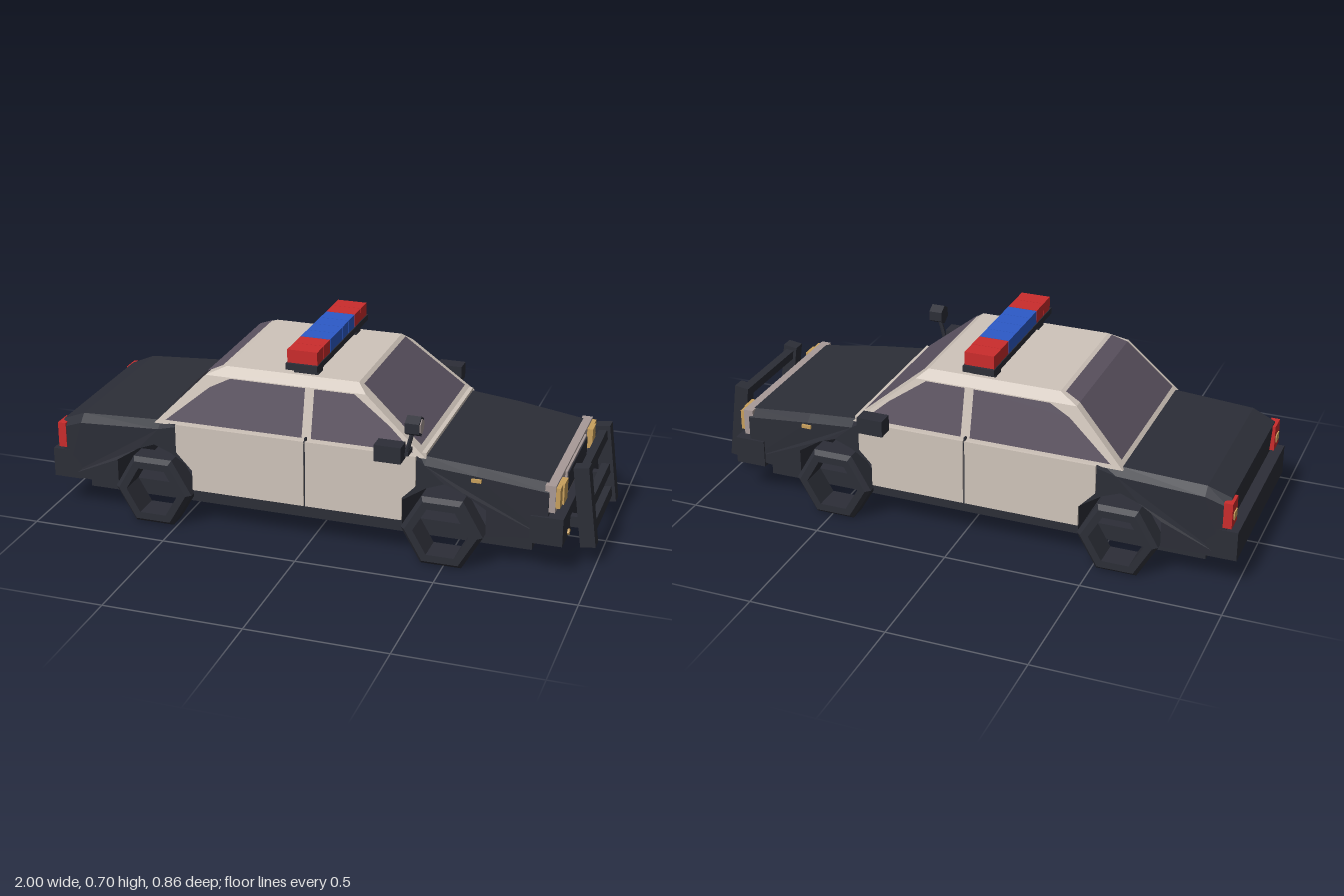
import * as THREE from 'three';

const mat = (name, color, side = THREE.FrontSide) => {
  const m = new THREE.MeshStandardMaterial({ color, side });
  m.name = name;
  return m;
};

export function createModel() {
  const car = new THREE.Group();
  car.name = 'patrolCar';
  const dark = mat('charcoal', 0x2c2e37);
  const cream = mat('cream', 0xcfc4ba);
  const glass = mat('smokedGlass', 0x5c5361, THREE.DoubleSide);
  const red = mat('red', 0xcb2c2c);
  const blue = mat('blue', 0x2c5ac8);
  const amber = mat('amber', 0xc9a05c);
  const trim = mat('trim', 0xa89a98);

  // Adds a faceted mesh
  const add = (name, geo, material, parent = car) => {
    const g = geo.index ? geo.toNonIndexed() : geo;
    g.computeVertexNormals();
    const mesh = new THREE.Mesh(g, material);
    mesh.name = name;
    parent.add(mesh);
    return mesh;
  };
  // Box given by its limits
  const box = (name, m, x0, x1, y0, y1, z0, z1, parent) => add(name,
    new THREE.BoxGeometry(x1 - x0, y1 - y0, z1 - z0)
      .translate((x0 + x1) / 2, (y0 + y1) / 2, (z0 + z1) / 2), m, parent);
  const fromTriangles = (pts, index) => {
    const g = new THREE.BufferGeometry();
    g.setAttribute('position', new THREE.Float32BufferAttribute(pts.flat(), 3));
    g.setIndex(index);
    return g;
  };
  // Closed solid through rings of equal length
  const loft = (rings) => {
    const n = rings[0].length, last = (rings.length - 1) * n, index = [];
    for (let i = 0; i < rings.length - 1; i++) {
      for (let j = 0; j < n; j++) {
        const a = i * n + j, b = i * n + (j + 1) % n;
        index.push(a, b, b + n, a, b + n, a + n);
      }
    }
    for (let j = 1; j < n - 1; j++) index.push(0, j + 1, j, last, last + j, last + j + 1);
    return fromTriangles(rings.flat(), index);
  };
  // Flat convex panel
  const panel = (name, pts, m) => {
    const index = [];
    for (let j = 1; j < pts.length - 1; j++) index.push(0, j, j + 1);
    return add(name, fromTriangles(pts, index), m);
  };
  const extrude = (pts, depth) => new THREE.ExtrudeGeometry(
    new THREE.Shape(pts.map(p => new THREE.Vector2(...p))), { depth, bevelEnabled: false });

  // Half width of the body, tapering to both ends
  const halfWidth = x => 0.348 - 0.024 * Math.max(0, (x - 0.5) / 0.37)
    - 0.018 * Math.max(0, (-x - 0.8) / 0.17);

  // Upper deck stations: x, shoulder height, top height
  const deck = [[-0.965, 0.31, 0.335], [-0.88, 0.342, 0.37], [-0.57, 0.362, 0.387],
    [-0.5, 0.38, 0.39], [0.39, 0.38, 0.39], [0.42, 0.36, 0.383], [0.6, 0.342, 0.366], [0.85, 0.31, 0.335]];
  add('hoodAndTrunk', loft(deck.map(([x, s, t]) => {
    const w = halfWidth(x), v = w - 0.03;
    return [[x, t, v], [x, s, w], [x, s, -w], [x, t, -v]];
  })), dark);

  // Lower body with wheel arches cut right through
  const wheelX = [-0.588, 0.49];
  const arch = c => [[-0.148, 0.12], [-0.148, 0.22], [-0.065, 0.275], [0, 0.3],
    [0.065, 0.275], [0.148, 0.22], [0.148, 0.12]].map(([x, y]) => [c + x, y]);
  const body = extrude([[-0.95, 0.12], ...arch(wheelX[0]), ...arch(wheelX[1]), [0.85, 0.14],
    ...deck.map(([x, s]) => [x, s]).reverse()], 1);
  const pos = body.attributes.position;
  for (let i = 0; i < pos.count; i++) {
    pos.setZ(i, (pos.getZ(i) * 2 - 1) * halfWidth(pos.getX(i)));
  }
  add('lowerBody', body, dark);
  box('chassis', dark, -0.88, 0.79, 0.065, 0.125, -0.28, 0.28);

  // Cabin shell
  add('cabin', loft([[0.38, -0.59, 0.42, 0.335], [0.57, -0.405, 0.19, 0.29], [0.6, -0.335, 0.155, 0.257]]
    .map(([y, x0, x1, z]) => [[x1, y, z], [x1, y, -z], [x0, y, -z], [x0, y, z]])), cream);
  box('cowl', cream, 0.38, 0.418, 0.375, 0.395, -0.32, 0.32);

  // Front and rear glass
  panel('windshield', [[0.392, 0.412, 0.295], [0.392, 0.412, -0.295], [0.172, 0.594, -0.25], [0.172, 0.594, 0.25]], glass);
  panel('rearWindow', [[-0.575, 0.405, -0.305], [-0.575, 0.405, 0.305], [-0.408, 0.575, 0.265], [-0.408, 0.575, -0.265]], glass);
  panel('rearWindowTop', [[-0.408, 0.575, -0.265], [-0.408, 0.575, 0.265], [-0.352, 0.599, 0.25], [-0.352, 0.599, -0.25]], glass);

  // Parts on each side
  const doors = {
    rearDoor: [[-0.44, 0.145], [-0.018, 0.145], [-0.018, 0.392], [-0.5, 0.392], [-0.5, 0.285], [-0.44, 0.22]],
    frontDoor: [[-0.011, 0.145], [0.342, 0.145], [0.342, 0.23], [0.39, 0.28], [0.39, 0.392], [-0.011, 0.392]],
  };
  const windows = {
    rearSideWindow: [[-0.545, 0.397], [-0.03, 0.397], [-0.03, 0.568], [-0.31, 0.568], [-0.385, 0.53]],
    frontSideWindow: [[0.004, 0.397], [0.375, 0.397], [0.285, 0.475], [0.15, 0.568], [0.004, 0.568]],
  };
  for (const s of [1, -1]) {
    const side = s > 0 ? 'near' : 'far';
    const sideBox = (name, m, x0, x1, y0, y1, z0, z1) =>
      box(side + name, m, x0, x1, y0, y1, Math.min(s * z0, s * z1), Math.max(s * z0, s * z1));
    for (const [name, pts] of Object.entries(doors)) {
      add(name, extrude(pts, 0.01).translate(0, 0, s > 0 ? 0.346 : -0.356), cream);
    }
    for (const [name, pts] of Object.entries(windows)) {
      const on = pts.map(([x, y]) => [x, y, s * (0.339 - (y - 0.38) * 0.237)]);
      panel(name, s > 0 ? on : on.reverse(), glass);
    }
    sideBox('PillarSeam', dark, -0.018, -0.011, 0.39, 0.4, 0.32, 0.345);

    // Hexagonal open wheels
    for (const x of wheelX) {
      const profile = [[0.1, -0.052], [0.13, -0.052], [0.147, -0.035], [0.147, 0.035],
        [0.13, 0.052], [0.1, 0.052], [0.1, -0.052]].map(p => new THREE.Vector2(...p));
      add('wheel', new THREE.LatheGeometry(profile, 6, Math.PI / 2).rotateX(Math.PI / 2)
        .translate(x, 0.1275, s * 0.333), dark);
    }

    // Wing mirror, side marker, lamps
    sideBox('MirrorArm', dark, 0.29, 0.33, 0.392, 0.415, 0.31, 0.38);
    sideBox('Mirror', dark, 0.262, 0.358, 0.39, 0.45, 0.37, 0.43);
    sideBox('SideMarker', amber, 0.585, 0.62, 0.322, 0.334, 0.335, 0.35);
    sideBox('Headlight', amber, 0.86, 0.893, 0.253, 0.328, 0.22, 0.28);
    sideBox('TurnLight', amber, 0.845, 0.887, 0.253, 0.328, 0.281, 0.318);
    add('fogLight', new THREE.CylinderGeometry(0.011, 0.011, 0.008, 6).rotateZ(-Math.PI / 2)
      .translate(0.908, 0.138, s * 0.245), amber);
    sideBox('TailLight', red, -0.976, -0.945, 0.235, 0.33, 0.265, 0.335);
    sideBox('TailLightCentre', amber, -0.98, -0.97, 0.262, 0.29, 0.28, 0.318);
    sideBox('LightBarFoot', dark, -0.09, 0, 0.595, 0.632, 0.19, 0.24);
  }

  // Nose, grille and bumpers
  box('noseTrim', trim, 0.835, 0.872, 0.237, 0.336, -0.322, 0.322);
  box('grilleFrame', trim, 0.86, 0.88, 0.237, 0.328, -0.17, 0.17);
  box('grille', dark, 0.87, 0.884, 0.25, 0.322, -0.165, 0.165);
  box('frontBumper', dark, 0.79, 0.905, 0.12, 0.222, -0.335, 0.335);
  box('rearBumper', dark, -1, -0.89, 0.115, 0.225, -0.335, 0.335);

  // Tilted push bar
  const push = new THREE.Group();
  push.name = 'pushBar';
  for (const z of [-0.195, 0.195]) box('pushBarPost', dark, -0.027, 0.027, -0.148, 0.148, z - 0.024, z + 0.024, push);
  for (const y of [0.115, -0.015, -0.105]) box('pushBarRail', dark, -0.015, 0.015, y - 0.018, y + 0.018, -0.18, 0.18, push);
  push.position.set(0.954, 0.221, 0);
  push.rotation.z = 0.13;
  car.add(push);
  box('pushBarMount', dark, 0.88, 0.96, 0.14, 0.18, -0.21, -0.18);
  box('pushBarMount', dark, 0.88, 0.96, 0.14, 0.18, 0.18, 0.21);

  // Roof light bar
  box('lightBarBase', dark, -0.103, 0.013, 0.627, 0.65, -0.29, 0.29);
  for (let i = 0; i < 8; i++) {
    const z = -0.28 + i * 0.07;
    box('beacon', i < 2 || i > 5 ? red : blue, -0.1, 0.01, 0.65, 0.698, z + 0.001, z + 0.069);
  }

  // Spotlight on one side
  const hex = (r, h) => new THREE.CylinderGeometry(r, r, h, 6).rotateY(Math.PI / 6).rotateZ(-Math.PI / 2);
  add('spotlight', hex(0.036, 0.05).translate(0.388, 0.514, 0.372), dark);
  add('spotlightLens', hex(0.027, 0.006).translate(0.413, 0.514, 0.372), trim);
  add('spotlightStem', new THREE.CylinderGeometry(0.008, 0.008, 0.1, 6).rotateZ(-0.25)
    .translate(0.372, 0.45, 0.372), dark);
  box('spotlightArm', dark, 0.35, 0.37, 0.4, 0.416, 0.31, 0.38);

  return car;
}
